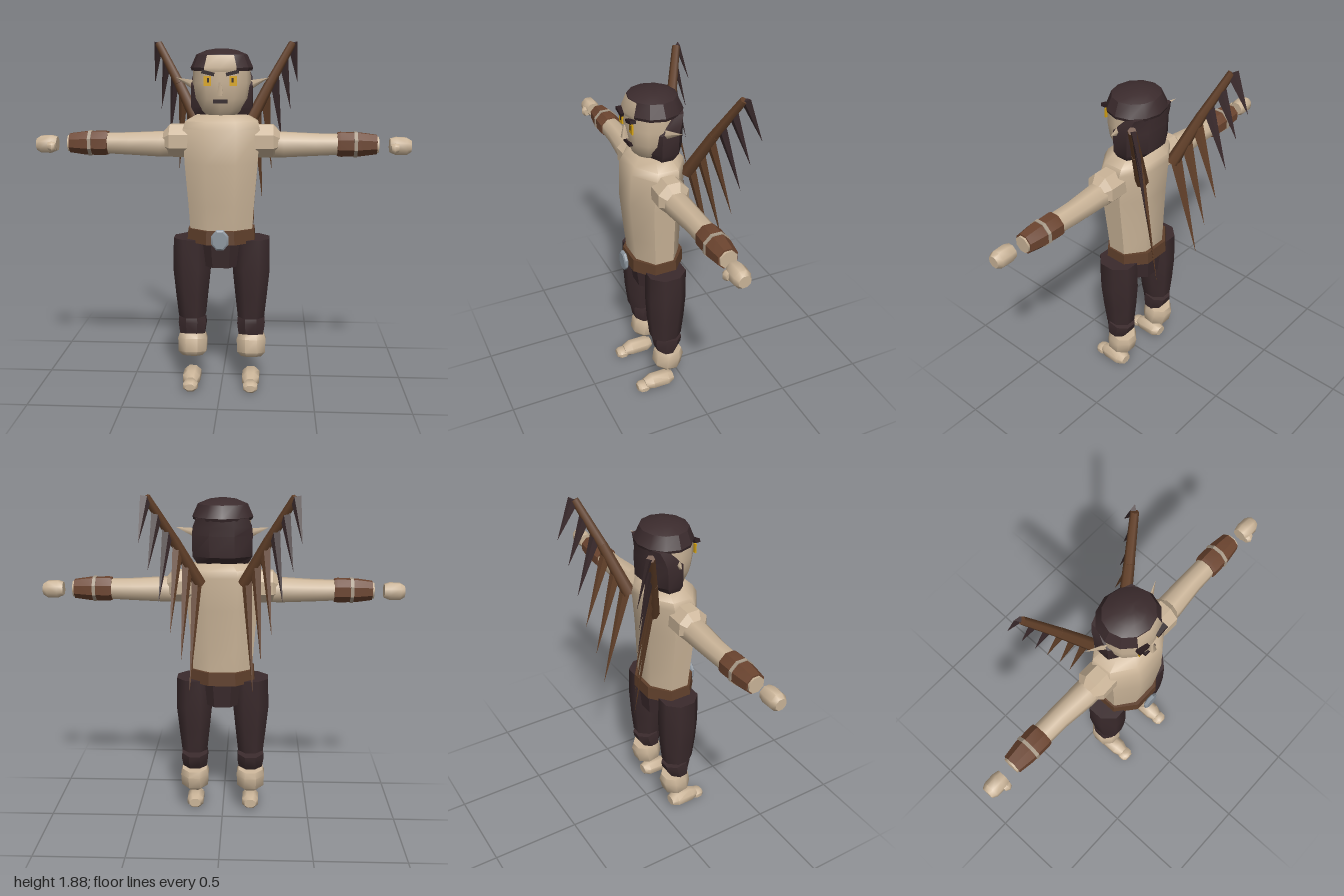
import * as THREE from 'three';
import { toCreasedNormals } from 'three/addons/utils/BufferGeometryUtils.js';

const V = (x, y, z) => new THREE.Vector3(x, y, z);

// Closed body through elliptical rings [y, rx, rz, cx, cz]; a partial arc stays open.
function loft(rings, { n = 8, start = Math.PI / 8, arc = Math.PI * 2, crease = 0.9 } = {}) {
  const pos = [], idx = [], full = arc > 6.28, w = n + 1;
  const k = full && start ? 1 / Math.cos(start) : 1;
  for (const [y, rx, rz, cx, cz] of rings) {
    for (let j = 0; j <= n; j++) {
      const a = start + arc * j / n;
      pos.push(cx + rx * k * Math.cos(a), y, cz + rz * k * Math.sin(a));
    }
  }
  for (let i = 0; i < rings.length - 1; i++) {
    for (let j = 0; j < n; j++) {
      const a = i * w + j, c = a + w;
      idx.push(a, c, a + 1, a + 1, c, c + 1);
    }
  }
  if (full) {
    const top = (rings.length - 1) * w;
    for (let j = 1; j < n - 1; j++) idx.push(0, j, j + 1, top, top + j + 1, top + j);
  }
  const g = new THREE.BufferGeometry();
  g.setAttribute('position', new THREE.Float32BufferAttribute(pos, 3));
  g.setIndex(idx);
  return toCreasedNormals(g, crease);
}

// Loft running along x; rings are [x, ry, rz, y, z].
function loftX(rings, opt) {
  return loft(rings.map(([x, ry, rz, y, z]) => [x, ry, rz, -y, z]), opt).rotateZ(-Math.PI / 2);
}

// Reflected copy across x = 0 with its winding corrected.
function mirror(geo) {
  const g = geo.index ? geo.toNonIndexed() : geo.clone();
  g.scale(-1, 1, 1);
  for (const name of ['position', 'normal']) {
    const a = g.attributes[name];
    for (let i = 0; i < a.count; i += 3) {
      const p = V().fromBufferAttribute(a, i + 1), q = V().fromBufferAttribute(a, i + 2);
      a.setXYZ(i + 1, q.x, q.y, q.z);
      a.setXYZ(i + 2, p.x, p.y, p.z);
    }
  }
  return g;
}

// Places a y-aligned unit shape from p to q, with its x axis near side.
function span(geo, p, q, side, width, thick) {
  const d = q.clone().sub(p), y = d.clone().normalize();
  const x = side.clone().addScaledVector(y, -side.dot(y)).normalize();
  const z = x.clone().cross(y);
  const m = new THREE.Matrix4().makeBasis(x.multiplyScalar(width), d, z.multiplyScalar(thick));
  m.setPosition(p.clone().add(q).multiplyScalar(0.5));
  return geo.applyMatrix4(m);
}

export function createModel() {
  const root = new THREE.Group();
  const colour = (name, hex) => {
    const m = new THREE.MeshStandardMaterial({ color: hex });
    m.name = name;
    return m;
  };
  const skin = colour('skin', 0xcab498);
  const hair = colour('hair', 0x3b2b2d);
  const cloth = colour('trousers', 0x3a2a2c);
  const leather = colour('cuff leather', 0x6b442f);
  const beltBrown = colour('belt leather', 0x5f3f2b);
  const wingBrown = colour('wing brown', 0x624029);
  const band = colour('band', 0xa89a88);
  const metal = colour('metal', 0x8c959e);
  const gold = colour('eye gold', 0xd9a514);
  const dark = colour('dark detail', 0x2a1c1f);

  const add = (name, geo, mat) => {
    const m = new THREE.Mesh(geo, mat);
    m.name = name;
    root.add(m);
  };
  const pair = (name, geo, mat) => {
    add('left' + name, geo, mat);
    add('right' + name, mirror(geo), mat);
  };
  const box = (w, h, d, x, y, z, tilt = 0) =>
    new THREE.BoxGeometry(w, h, d).rotateZ(tilt).translate(x, y, z);

  // Torso, belt and hips
  add('torso', loft([
    [0.87, 0.165, 0.125, 0, 0.112], [1.02, 0.175, 0.135, 0, 0.116], [1.24, 0.193, 0.147, 0, 0.12],
    [1.42, 0.203, 0.149, 0, 0.108], [1.46, 0.19, 0.135, 0, 0.1], [1.495, 0.13, 0.1, 0, 0.1],
  ]), skin);
  add('belt', loft([[0.815, 0.182, 0.148, 0, 0.112], [0.888, 0.176, 0.145, 0, 0.112]], { crease: 0.4 }), beltBrown);
  add('hips', loft([[0.68, 0.105, 0.11, 0, 0.105], [0.82, 0.125, 0.125, 0, 0.107]], { crease: 0.4 }), cloth);
  add('buckle', loft([
    [0, 0.036, 0.045, 0, 0], [0.006, 0.045, 0.053, 0, 0], [0.018, 0.045, 0.053, 0, 0], [0.024, 0.036, 0.045, 0, 0],
  ], { crease: 0.4 }).rotateX(Math.PI / 2).translate(0, 0.848, 0.272), metal);

  // Head with face details
  const around = { n: 12, start: 0 };
  add('head', loft([
    [1.485, 0.075, 0.07, 0, 0.125], [1.515, 0.11, 0.1, 0, 0.118], [1.58, 0.143, 0.128, 0, 0.112],
    [1.66, 0.154, 0.142, 0, 0.11], [1.75, 0.15, 0.14, 0, 0.108],
  ], around), skin);
  pair('Eye', box(0.038, 0.052, 0.008, 0.066, 1.672, 0.243).rotateY(0), gold);
  pair('Pupil', box(0.01, 0.022, 0.006, 0.062, 1.676, 0.247), dark);
  pair('Brow', box(0.066, 0.018, 0.03, 0.063, 1.712, 0.245, 0.24), dark);
  add('nose', span(new THREE.CylinderGeometry(0.5, 1, 1, 4).rotateY(Math.PI / 4),
    V(0, 1.595, 0.25), V(0, 1.665, 0.247), V(1, 0, 0), 0.02, 0.028), skin);
  add('mouth', box(0.072, 0.02, 0.02, 0, 1.568, 0.236), dark);
  pair('Ear', span(new THREE.ConeGeometry(1, 1, 4),
    V(0.14, 1.645, 0.105), V(0.25, 1.685, 0.05), V(0, 1, 0), 0.027, 0.016), skin);

  // Hair: cap, back and exposed forehead
  add('hairCap', loft([
    [1.722, 0.16, 0.147, 0, 0.1], [1.738, 0.165, 0.153, 0, 0.1], [1.805, 0.135, 0.125, 0, 0.102],
    [1.828, 0.08, 0.08, 0, 0.1], [1.836, 0.03, 0.03, 0, 0.1],
  ], { ...around, crease: 0.5 }), hair);
  add('forehead', loft([
    [1.718, 0.163, 0.15, 0, 0.1], [1.738, 0.168, 0.156, 0, 0.1], [1.803, 0.138, 0.128, 0, 0.102],
  ], { n: 2, start: Math.PI / 3, arc: Math.PI / 3 }), skin);
  add('backHair', loft([
    [1.48, 0.135, 0.07, 0, 0.085], [1.53, 0.162, 0.106, 0, 0.075], [1.645, 0.163, 0.11, 0, 0.072],
    [1.69, 0.158, 0.08, 0, 0.045], [1.735, 0.14, 0.05, 0, 0.015],
  ], { crease: 0.6 }), hair);

  // Arms, cuffs and hands
  pair('Shoulder', loftX([
    [0.16, 0.087, 0.08, 1.355, 0.11], [0.275, 0.085, 0.083, 1.355, 0.11], [0.312, 0.05, 0.05, 1.35, 0.11],
  ], { crease: 0.4 }), skin);
  pair('Arm', loftX([
    [0.24, 0.066, 0.064, 1.335, 0.108], [0.33, 0.066, 0.064, 1.335, 0.106], [0.5, 0.058, 0.055, 1.335, 0.097],
    [0.62, 0.054, 0.054, 1.337, 0.096], [0.83, 0.042, 0.042, 1.336, 0.095],
  ]), skin);
  pair('Cuff', loftX([
    [0.612, 0.06, 0.06, 1.337, 0.095], [0.63, 0.064, 0.063, 1.337, 0.095], [0.735, 0.061, 0.061, 1.337, 0.095],
    [0.82, 0.05, 0.05, 1.337, 0.095],
  ], { crease: 0.5 }), leather);
  pair('WristBand', loftX([
    [0.699, 0.066, 0.066, 1.337, 0.095], [0.717, 0.066, 0.066, 1.337, 0.095],
  ], { crease: 0.4 }), band);
  pair('Hand', loftX([
    [0.888, 0.036, 0.036, 1.333, 0.105], [0.92, 0.047, 0.044, 1.331, 0.106],
    [0.975, 0.045, 0.042, 1.33, 0.106], [1.0, 0.03, 0.03, 1.33, 0.105],
  ]), skin);
  pair('Thumb', loftX([
    [0.892, 0.02, 0.017, 1.32, 0.142], [0.91, 0.027, 0.022, 1.32, 0.147], [0.932, 0.02, 0.017, 1.325, 0.143],
  ]), skin);

  // Legs and feet
  pair('Thigh', loft([
    [0.39, 0.072, 0.085, 0.162, 0.11], [0.52, 0.086, 0.098, 0.162, 0.11],
    [0.66, 0.1, 0.105, 0.162, 0.108], [0.83, 0.095, 0.104, 0.163, 0.107],
  ]), cloth);
  pair('TrouserCuff', loft([
    [-0.045, 0.068, 0.055, 0.162, 0], [0.015, 0.076, 0.078, 0.162, 0], [0.05, 0.073, 0.076, 0.162, 0],
  ], { crease: 0.5 }).rotateX(-0.2).translate(0, 0.328, 0.107), cloth);
  pair('Ankle', loft([
    [-0.065, 0.055, 0.058, 0.163, 0], [-0.042, 0.077, 0.077, 0.163, 0], [0.03, 0.08, 0.08, 0.163, 0],
    [0.063, 0.07, 0.064, 0.163, 0],
  ]).rotateX(-0.2).translate(0, 0.218, 0.097), skin);
  const forward = (rings) => loft(rings).rotateX(Math.PI / 2);
  pair('Foot', forward([
    [0.07, 0.033, 0.025, 0.163, -0.05], [0.105, 0.047, 0.042, 0.163, -0.048],
    [0.2, 0.047, 0.043, 0.163, -0.048], [0.245, 0.032, 0.027, 0.163, -0.042],
  ]), skin);
  pair('Toe', forward([
    [0.225, 0.032, 0.022, 0.163, -0.03], [0.245, 0.04, 0.03, 0.163, -0.03],
    [0.275, 0.038, 0.028, 0.163, -0.03], [0.29, 0.026, 0.018, 0.163, -0.03],
  ]), skin);

  // Wings: two bones carrying six hanging feathers
  const base = V(0.12, 1.39, -0.035), joint = V(0.25, 1.645, -0.12), tip = V(0.375, 1.868, -0.205);
  const across = V(0.85, 0, -0.53);
  const bone = (p, q, r0, r1) =>
    span(new THREE.CylinderGeometry(r1, r0, 1, 6).toNonIndexed(), p, q, across, 1, 1);
  pair('LowerWingBone', bone(base, joint, 0.036, 0.028), wingBrown);
  pair('UpperWingBone', bone(joint, tip, 0.027, 0.021), wingBrown);
  const featherTips = [
    [0.41, 1.645, -0.3], [0.37, 1.5, -0.265], [0.32, 1.33, -0.245],
    [0.265, 1.16, -0.23], [0.212, 1, -0.2], [0.17, 0.82, -0.18],
  ];
  featherTips.forEach((p, i) => {
    const t = i / 2.5;
    const start = t < 1 ? tip.clone().lerp(joint, t) : joint.clone().lerp(base, (t - 1) * 0.9);
    start.z -= 0.008;
    const geo = span(new THREE.ConeGeometry(1, 1, 4), start, V(...p), across, 0.032, 0.014);
    pair('Feather' + (i + 1), toCreasedNormals(geo, 0.4), i < 3 ? hair : wingBrown);
  });
  return root;
}
